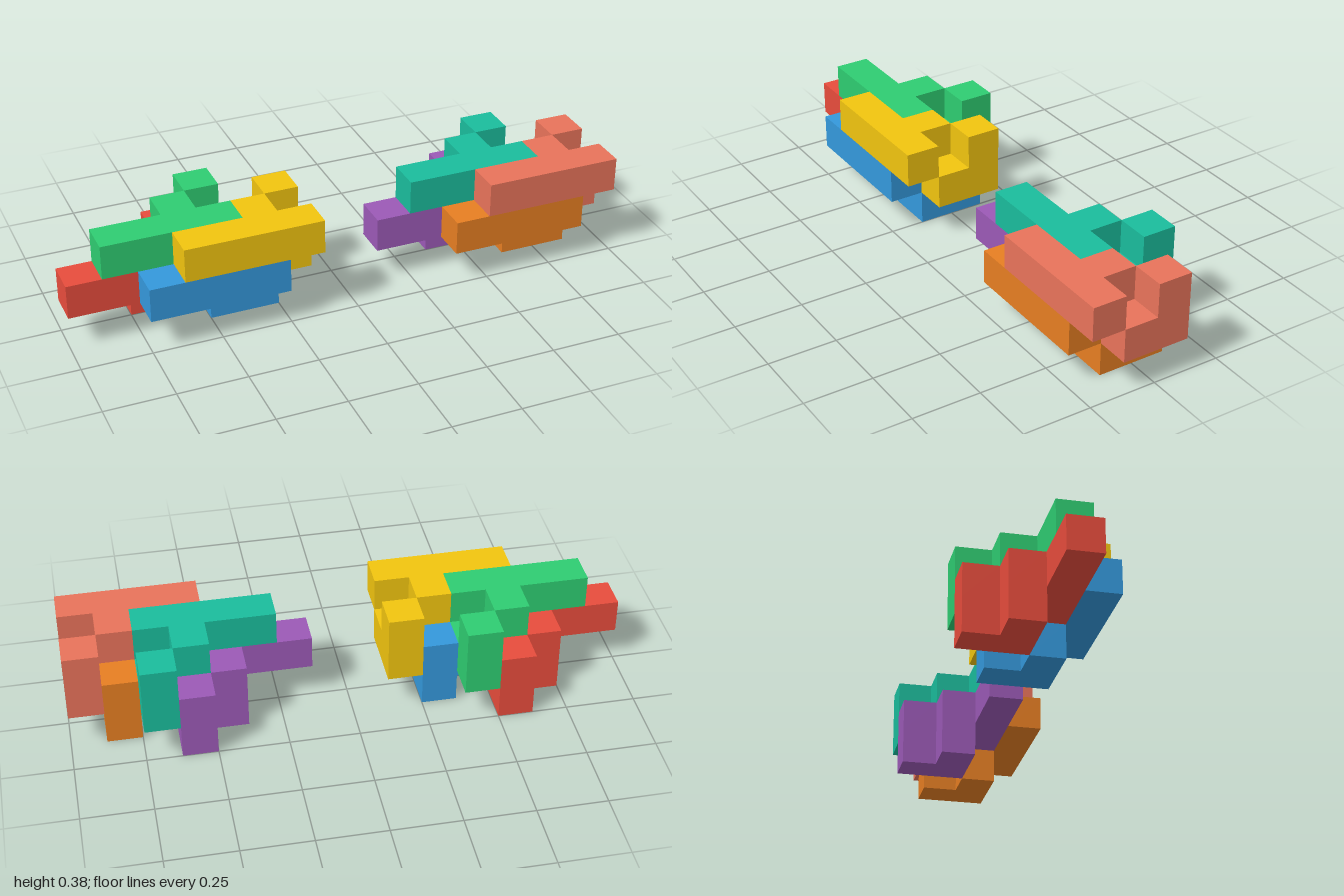
import * as THREE from 'three';
import { mergeGeometries } from 'three/addons/utils/BufferGeometryUtils.js';

const U = 0.125; // edge of one cube

// Cells of one puzzle piece as [column, layer, row]
const CELLS = [
  [0, 1, 2], [1, 1, 2], [2, 1, 2], [3, 1, 2], // long bar
  [2, 1, 1], [2, 0, 1],                       // inner post
  [3, 0, 1],                                  // low step
  [3, 0, 0], [3, 1, 0],                       // back post
];

// Outer skin of the piece: a square wherever a cell has no neighbour
function pieceGeometry() {
  const filled = new Set(CELLS.map(String));
  const forward = new THREE.Vector3(0, 0, 1);
  const squares = [];
  for (const cell of CELLS) {
    for (let axis = 0; axis < 3; axis++) {
      for (const sign of [-1, 1]) {
        const d = [0, 0, 0];
        d[axis] = sign;
        if (filled.has(String(cell.map((c, i) => c + d[i])))) continue;
        const turn = new THREE.Quaternion().setFromUnitVectors(forward, new THREE.Vector3(...d));
        const centre = cell.map((c, i) => (c + 0.5 + d[i] / 2) * U);
        squares.push(new THREE.PlaneGeometry(U, U).applyQuaternion(turn).translate(...centre));
      }
    }
  }
  return mergeGeometries(squares);
}

export function createModel() {
  const model = new THREE.Group();
  const geometry = pieceGeometry();

  // Piece positions in a cluster, counted in cubes
  const slots = [
    { name: 'lowerBackPiece', at: [0, 0, 0] },
    { name: 'upperBackPiece', at: [1, 1, 0] },
    { name: 'lowerFrontPiece', at: [2, 0, 1] },
    { name: 'upperFrontPiece', at: [3, 1, 1] },
  ];
  const clusters = [
    { name: 'rightCluster', x: -1, colors: [0xe74c3c, 0x2ecc71, 0x3498db, 0xf1c40f] },
    { name: 'leftCluster', x: 0.125, colors: [0x9b59b6, 0x1abc9c, 0xe67e22, 0xe8735a] },
  ];

  for (const { name, x, colors } of clusters) {
    const cluster = new THREE.Group();
    cluster.name = name;
    cluster.position.set(x, 0, -0.25);
    slots.forEach((slot, i) => {
      const piece = new THREE.Mesh(geometry, new THREE.MeshStandardMaterial({ color: colors[i] }));
      piece.name = slot.name;
      piece.position.set(...slot.at.map((n) => n * U));
      cluster.add(piece);
    });
    model.add(cluster);
  }
  return model;
}
